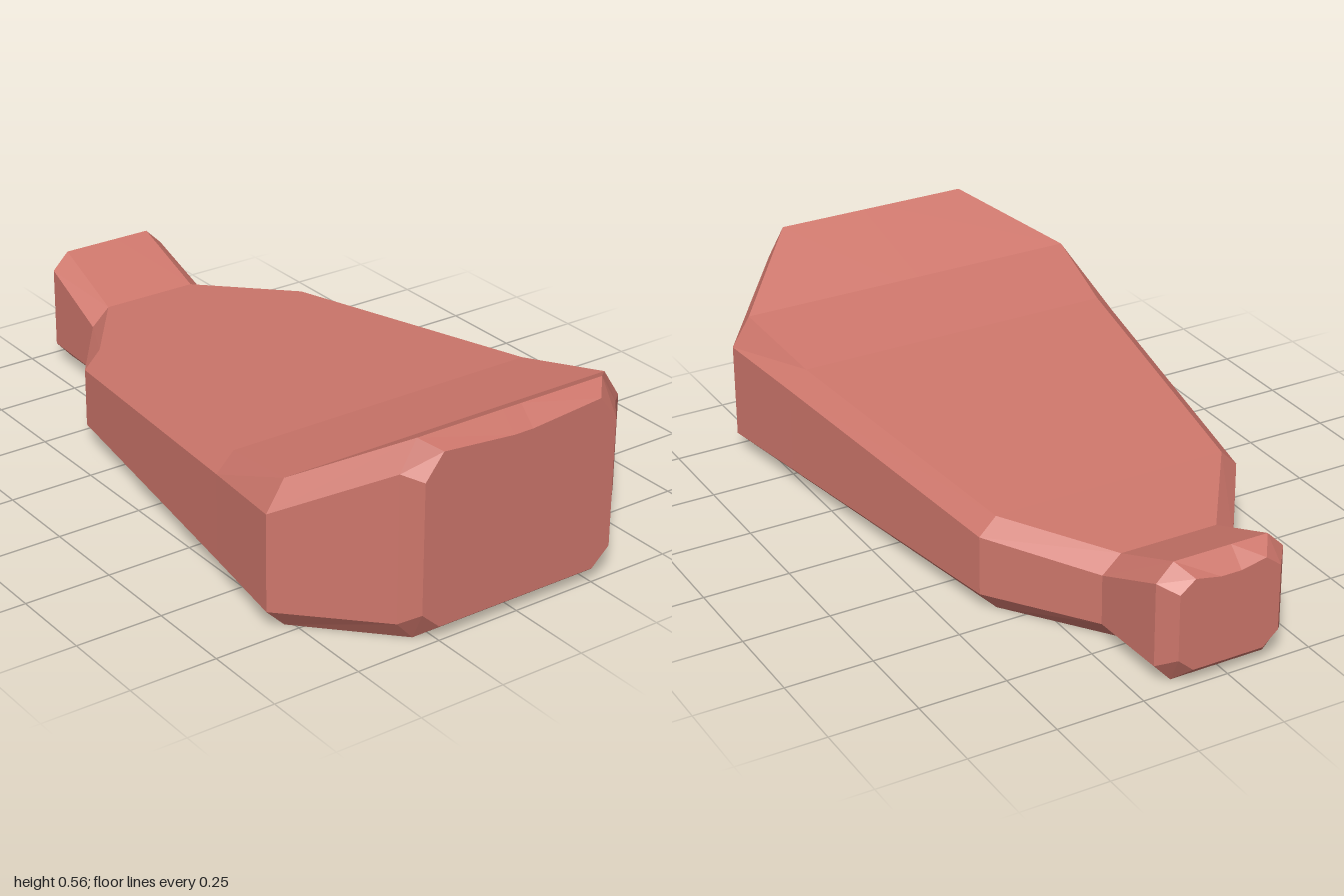
import * as THREE from 'three';

// Cross-sections from front to back:
// [z, side half-width, top half-width, top y, shoulder y, lower side y, bottom y, top centre y]
const SECTIONS = [
  [1.0, 0.305, 0.25, 0.53, 0.46, 0.09, 0.04, 0.51],
  [0.95, 0.345, 0.295, 0.56, 0.475, 0.055, 0, 0.56],
  [0.715, 0.575, 0.52, 0.418, 0.333, 0.055, 0, 0.418],
  [0.43, 0.53, 0.477, 0.36, 0.307, 0.055, 0, 0.36],
  [-0.43, 0.4, 0.35, 0.277, 0.227, 0.055, 0, 0.277],
  [-0.715, 0.2, 0.145, 0.25, 0.2, 0.055, 0, 0.25],
  [-0.95, 0.19, 0.14, 0.345, 0.295, 0.055, 0, 0.345],
  [-1.0, 0.15, 0.105, 0.31, 0.275, 0.085, 0.045, 0.295],
];

// Chamfered outline, counter-clockwise seen from the front
function ring([z, w, t, top, shoulder, low, bottom, mid]) {
  const half = [[t, bottom], [w, low], [w, shoulder], [t, top], [0.03, mid]];
  const mirrored = half.map(([x, y]) => [-x, y]).reverse();
  return [...half, ...mirrored].map(([x, y]) => [x, y, z]);
}

// Flat-sided skin through all outlines, closed at both ends
function loft(rings) {
  const pos = [];
  const tri = (...pts) => pts.forEach((p) => pos.push(...p));
  const n = rings[0].length;
  for (let s = 0; s < rings.length - 1; s++) {
    for (let i = 0; i < n; i++) {
      const j = (i + 1) % n;
      const a = rings[s][i], b = rings[s][j], c = rings[s + 1][j], d = rings[s + 1][i];
      tri(a, d, c);
      tri(a, c, b);
    }
  }
  const cap = (r, flip) => {
    const centre = [0, (r[0][1] + r[3][1]) / 2, r[0][2]];
    r.forEach((p, i) => {
      const q = r[(i + 1) % n];
      if (flip) tri(centre, q, p);
      else tri(centre, p, q);
    });
  };
  cap(rings[0], false);
  cap(rings[rings.length - 1], true);
  const geo = new THREE.BufferGeometry();
  geo.setAttribute('position', new THREE.Float32BufferAttribute(pos, 3));
  geo.computeVertexNormals();
  return geo;
}

export function createModel() {
  const group = new THREE.Group();
  group.name = 'model';
  // Tapered body with raised front lip and narrow raised tail
  const material = new THREE.MeshStandardMaterial({ color: 0xcd766b, flatShading: true });
  const body = new THREE.Mesh(loft(SECTIONS.map(ring)), material);
  body.name = 'taperedBody';
  group.add(body);
  return group;
}
